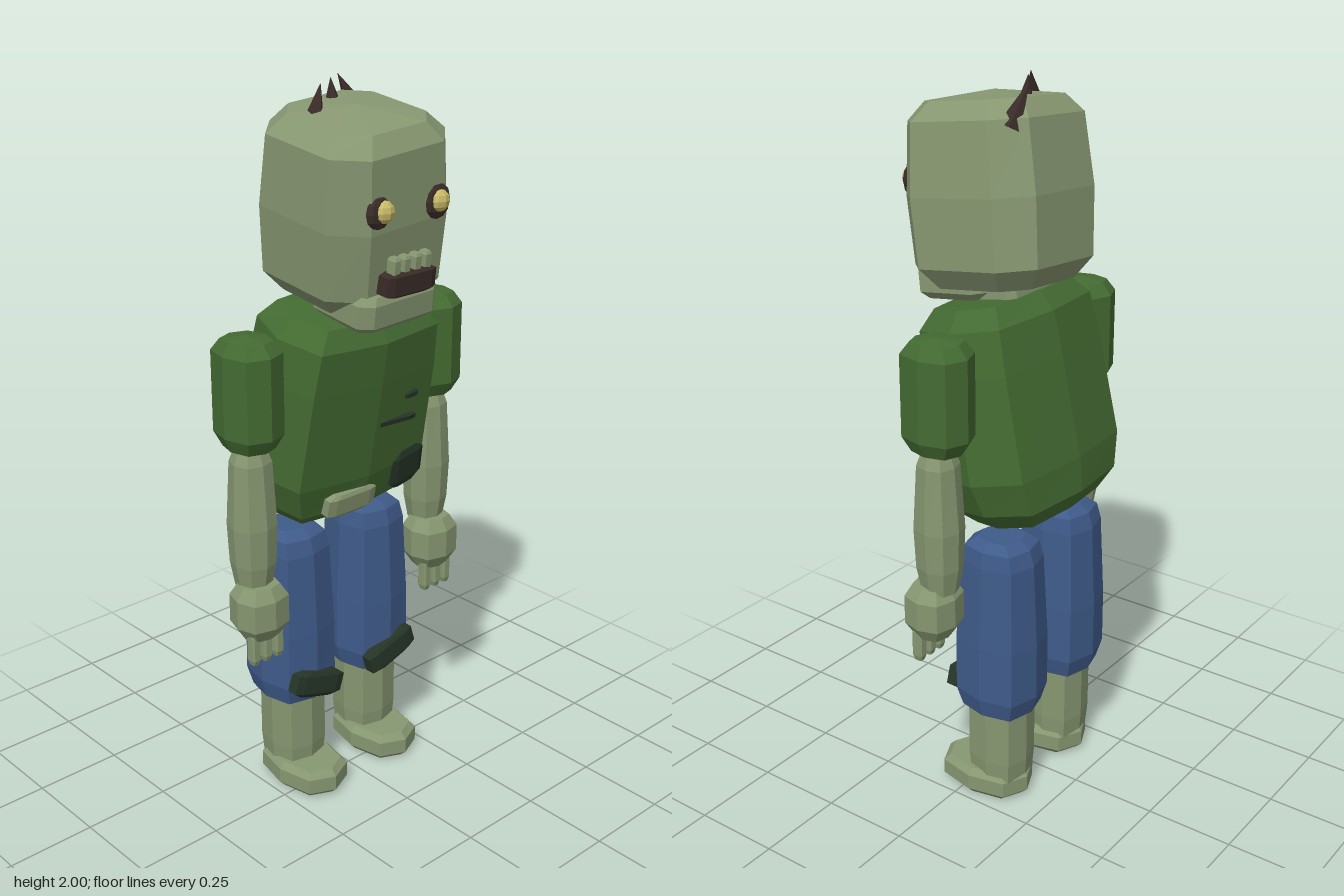
import * as THREE from 'three';

const mat = (name, color) => {
  const m = new THREE.MeshStandardMaterial({ color, flatShading: true });
  m.name = name;
  return m;
};

// Stacked eight-sided rings, bottom to top: [y, halfWidth, halfDepth, centreZ]
// ridged: corners at k of both half sizes plus a point on each axis; otherwise a chamfered rectangle
function loft(rings, { k = 0.8, ridged = true, dome = 0 } = {}) {
  const outline = ridged
    ? [[0, 1], [k, k], [1, 0], [k, -k], [0, -1], [-k, -k], [-1, 0], [-k, k]]
    : [[-k, 1], [k, 1], [1, k], [1, -k], [k, -1], [-k, -1], [-1, -k], [-1, k]];
  const pos = [], idx = [], n = 8;
  for (const [y, w, d, cz = 0] of rings)
    for (const [x, z] of outline) pos.push(x * w, y, z * d + cz);
  for (let i = 0; i < rings.length - 1; i++)
    for (let j = 0; j < n; j++) {
      const a = i * n + j, b = i * n + (j + 1) % n;
      idx.push(a, b, b + n, a, b + n, a + n);
    }
  const first = rings[0], last = rings[rings.length - 1];
  const low = pos.length / 3, high = low + 1, top = (rings.length - 1) * n;
  pos.push(0, first[0], first[3] ?? 0, 0, last[0] + dome, last[3] ?? 0);
  for (let j = 0; j < n; j++) {
    const next = (j + 1) % n;
    idx.push(low, next, j, high, top + j, top + next);
  }
  const g = new THREE.BufferGeometry();
  g.setAttribute('position', new THREE.Float32BufferAttribute(pos, 3));
  g.setIndex(idx);
  const flat = g.toNonIndexed();
  flat.computeVertexNormals();
  return flat;
}

// Chamfered block centred on its origin
function block(w, h, d, c = 0.2) {
  const s = 1 - c;
  return loft([
    [-h / 2, w / 2 * s, d / 2 * s], [-h / 2 * s, w / 2, d / 2],
    [h / 2 * s, w / 2, d / 2], [h / 2, w / 2 * s, d / 2 * s],
  ], { ridged: false, k: s });
}

export function createModel() {
  const model = new THREE.Group();
  model.name = 'undeadFigure';
  const skin = mat('skin', 0x879771);
  const shirt = mat('shirt', 0x446b32);
  const jeans = mat('jeans', 0x3f5b8a);
  const patch = mat('darkPatch', 0x263527);
  const brown = mat('darkBrown', 0x3a2c28);
  const yellow = mat('eyeYellow', 0xcabb68);

  const add = (name, geo, material, x = 0, y = 0, z = 0, rx = 0, ry = 0, rz = 0) => {
    const m = new THREE.Mesh(geo, material);
    m.name = name;
    m.position.set(x, y, z);
    m.rotation.set(rx, ry, rz);
    model.add(m);
    return m;
  };

  // Hunched torso and neck
  add('torso', loft([
    [-0.295, 0.185, 0.11], [-0.245, 0.235, 0.155], [-0.15, 0.268, 0.165],
    [0.13, 0.258, 0.16], [0.25, 0.245, 0.155], [0.3, 0.2, 0.12],
  ], { k: 0.84, dome: 0.01 }), shirt, 0, 1.135, -0.05, 0.2);
  add('neck', block(0.2, 0.16, 0.18), skin, 0, 1.46, 0.0, 0.15);

  // Tears and patches on the shirt
  add('shirtPatch', block(0.13, 0.12, 0.04, 0.35), patch, 0.165, 0.935, 0.045, 0.2, 0.1, 0.1);
  add('bellyTear', block(0.17, 0.07, 0.04, 0.3), skin, -0.05, 0.893, 0.055, 0.2);
  add('longSlash', block(0.17, 0.018, 0.03, 0.3), patch, 0.07, 1.105, 0.092, 0.2, 0, -0.06);
  add('shortSlash', block(0.045, 0.018, 0.03, 0.3), patch, 0.13, 1.17, 0.1, 0.2, 0, 0.1);

  // Tilted head and jaw
  add('head', loft([
    [-0.235, 0.155, 0.15], [-0.18, 0.2, 0.195], [0, 0.207, 0.205],
    [0.185, 0.195, 0.19], [0.232, 0.145, 0.155],
  ], { ridged: false, k: 0.62, dome: 0.02 }), skin, 0, 1.7, 0.02, 0.13, 0, 0.08);
  add('jaw', loft([
    [-0.05, 0.115, 0.09], [-0.03, 0.135, 0.11], [0.03, 0.135, 0.11], [0.05, 0.12, 0.1],
  ], { ridged: false, k: 0.75 }), skin, 0, 1.468, 0.1, 0.13, 0, 0.04);

  // Face
  add('mouth', block(0.17, 0.065, 0.07, 0.25), brown, 0.002, 1.532, 0.205, 0.1);
  for (const x of [-0.052, -0.018, 0.02, 0.055])
    add('tooth', block(0.027, 0.05, 0.03, 0.3), skin, x, 1.577, 0.222, 0.1);
  const ball = new THREE.SphereGeometry(1, 8, 6);
  for (const [x, r] of [[-0.105, 0.042], [0.095, 0.047]]) {
    add('eyeSocket', ball, brown, x, 1.72, 0.222).scale.set(r, r, 0.018);
    add('eye', ball, yellow, Math.sign(x) * 0.095, 1.722, 0.232).scale.set(0.029, 0.029, 0.023);
  }

  // Hair tufts: base and tip
  const tuft = new THREE.ConeGeometry(0.033, 1, 6);
  for (const [a, b] of [
    [[-0.125, 1.89, 0.005], [-0.07, 1.997, -0.025]],
    [[0, 1.9, -0.055], [0, 2, -0.067]],
    [[0.125, 1.89, -0.1], [0.073, 1.997, -0.122]],
  ]) {
    const base = new THREE.Vector3(...a), dir = new THREE.Vector3(...b).sub(base);
    const m = add('hairTuft', tuft, brown);
    m.position.copy(base).addScaledVector(dir, 0.5);
    m.scale.y = dir.length();
    m.quaternion.setFromUnitVectors(new THREE.Vector3(0, 1, 0), dir.normalize());
  }

  // Limb shapes shared by both sides
  const sleeve = loft([
    [1.1, 0.06, 0.07], [1.14, 0.079, 0.095], [1.36, 0.079, 0.095], [1.392, 0.06, 0.068],
  ], { k: 0.76, dome: 0.01 });
  const forearm = loft([
    [0.7, 0.045, 0.048], [0.77, 0.057, 0.06], [0.88, 0.062, 0.064],
    [1.06, 0.054, 0.052], [1.105, 0.038, 0.036],
  ], { k: 0.76 });
  const hand = loft([
    [0.56, 0.05, 0.045], [0.6, 0.075, 0.07], [0.68, 0.075, 0.07], [0.715, 0.052, 0.05],
  ], { k: 0.78 });
  const finger = block(0.027, 0.1, 0.032, 0.3);
  const trouser = loft([
    [0.285, 0.094, 0.1], [0.34, 0.108, 0.117], [0.5, 0.106, 0.117],
    [0.74, 0.095, 0.105], [0.785, 0.087, 0.092], [0.807, 0.06, 0.06],
  ], { k: 0.8 });
  const shin = loft([[0.06, 0.074, 0.08], [0.12, 0.079, 0.085], [0.3, 0.079, 0.085]], { k: 0.8 });
  const foot = loft([
    [0, 0.078, 0.118], [0.018, 0.095, 0.138], [0.062, 0.095, 0.138], [0.08, 0.078, 0.12],
  ], { k: 0.76 });
  const kneePatch = block(0.175, 0.075, 0.045, 0.3);

  for (const [side, s] of [['left', 1], ['right', -1]]) {
    add(side + 'Sleeve', sleeve, shirt, s * 0.325, 0, -0.025);
    add(side + 'Forearm', forearm, skin, s * 0.325, 0, -0.022);
    add(side + 'Hand', hand, skin, s * 0.325, 0, 0);
    for (const dx of [-0.04, 0, 0.04])
      add(side + 'Finger', finger, skin, s * 0.325 + dx, 0.54, 0.022);
    add(side + 'Trouser', trouser, jeans, s * 0.143, 0, -0.09);
    add(side + 'Shin', shin, skin, s * 0.14, 0, -0.087);
    add(side + 'Foot', foot, skin, s * 0.14, 0, -0.038);
    add(side + 'KneePatch', kneePatch, patch, s * 0.142, 0.342, 0.02, 0, 0, s * 0.3);
  }
  return model;
}
